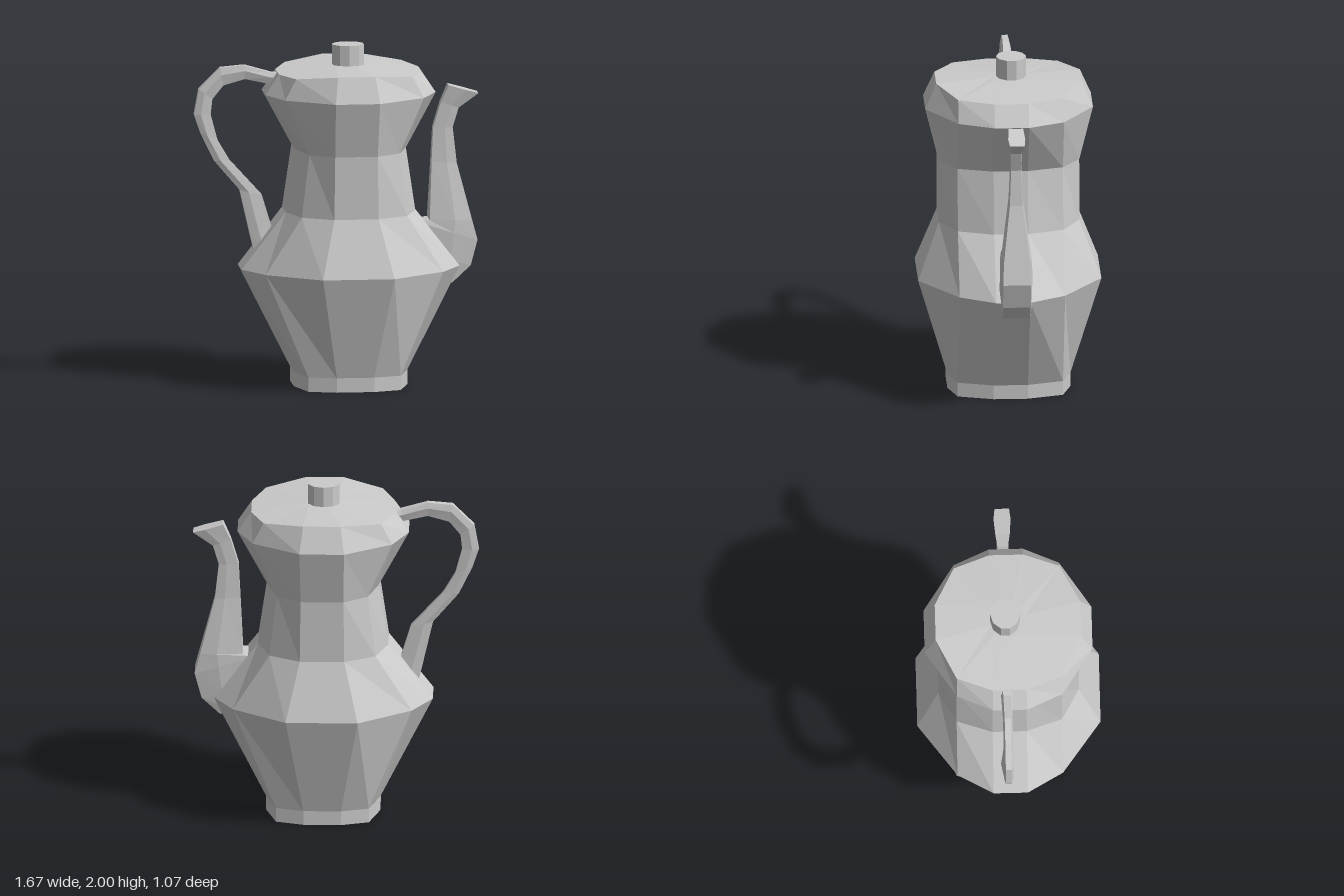
import * as THREE from 'three';

// Skin a list of equal-length point rings, with a fan cap on each end
function loft(rings) {
  const n = rings[0].length, pos = [];
  const tri = (...pts) => pts.forEach(p => pos.push(...p));
  for (let i = 0; i < rings.length - 1; i++) {
    for (let j = 0; j < n; j++) {
      const k = (j + 1) % n;
      const a = rings[i][j], b = rings[i][k], c = rings[i + 1][k], d = rings[i + 1][j];
      tri(a, b, d);
      tri(b, c, d);
    }
  }
  const cap = (ring, flip) => {
    const mid = [0, 1, 2].map(q => ring.reduce((s, p) => s + p[q], 0) / n);
    for (let j = 0; j < n; j++) {
      const a = ring[j], b = ring[(j + 1) % n];
      flip ? tri(mid, b, a) : tri(mid, a, b);
    }
  };
  cap(rings[0], true);
  cap(rings[rings.length - 1], false);
  const g = new THREE.BufferGeometry();
  g.setAttribute('position', new THREE.Float32BufferAttribute(pos, 3));
  g.computeVertexNormals();
  return g;
}

const CX = 0.07;   // body axis
const CZ = -0.017; // spout, handle and knob plane

// Twelve-sided body ring: half width, front corner x, half depth, heights of side / shoulder / front
function bodyRing([w, fx, d, y0, y1 = y0, y2 = y0, zs = 1]) {
  const q = [[w, 0.1 * zs, y0], [w * 0.815, 0.308 * zs, y1], [fx, d, y2]];
  const half = [...q, ...q.slice().reverse().map(([x, z, y]) => [-x, z, y])];
  const all = [...half, ...half.map(([x, z, y]) => [-x, -z, y])];
  return all.map(([x, z, y]) => [CX + x, y, z]);
}

// Six-sided section between an inner and outer profile point, half thickness h
function section([ix, iy, ox, oy, h], edge) {
  const at = (t, z) => [ix + (ox - ix) * t, iy + (oy - iy) * t, CZ + z];
  return [at(1, -h * edge), at(1, h * edge), at(0.6, h), at(0, h * edge), at(0, -h * edge), at(0.6, -h)];
}

export function createModel() {
  const group = new THREE.Group();
  const material = new THREE.MeshStandardMaterial({ color: 0xcccccc, flatShading: true });
  const add = (name, geometry) => {
    const mesh = new THREE.Mesh(geometry, material);
    mesh.name = name;
    group.add(mesh);
    return mesh;
  };

  // Body with its shallow lid, from the top down
  add('body', loft([
    [0.1, 0.03, 0.1, 1.88, 1.88, 1.88, 0.25],
    [0.42, 0.11, 0.425, 1.845, 1.85, 1.875],
    [0.5, 0.13, 0.49, 1.725],
    [0.325, 0.125, 0.41, 1.4],
    [0.38, 0.13, 0.41, 1.03],
    [0.64, 0.21, 0.535, 0.695],
    [0.333, 0.11, 0.36, 0.085],
    [0.333, 0.11, 0.36, 0],
  ].map(bodyRing)));

  // Lid knob
  const knob = add('lidKnob', new THREE.CylinderGeometry(0.095, 0.095, 0.13, 10));
  knob.scale.z = 0.92;
  knob.position.set(CX - 0.002, 1.935, CZ);

  // Spout, from the lip down
  add('spout', loft([
    [0.655, 1.75, 0.83, 1.7, 0.05],
    [0.61, 1.65, 0.715, 1.615, 0.036],
    [0.565, 1.5, 0.68, 1.5, 0.034],
    [0.555, 1.3, 0.703, 1.29, 0.044],
    [0.54, 0.96, 0.788, 0.96, 0.09],
    [0.47, 0.95, 0.82, 0.84, 0.095],
    [0.48, 0.78, 0.78, 0.69, 0.095],
    [0.5, 0.66, 0.67, 0.588, 0.095],
  ].map(s => section(s, 0.85))));

  // Handle, from the foot up
  add('handle', loft([
    [-0.34, 0.8, -0.485, 0.78, 0.04],
    [-0.38, 0.92, -0.515, 0.91, 0.034],
    [-0.44, 1.12, -0.57, 1.15, 0.028],
    [-0.63, 1.33, -0.72, 1.325, 0.028],
    [-0.7, 1.45, -0.8, 1.49, 0.028],
    [-0.74, 1.6, -0.837, 1.6, 0.028],
    [-0.73, 1.69, -0.81, 1.75, 0.028],
    [-0.665, 1.77, -0.685, 1.875, 0.028],
    [-0.54, 1.805, -0.54, 1.887, 0.028],
    [-0.4, 1.775, -0.38, 1.84, 0.034],
    [-0.3, 1.775, -0.3, 1.84, 0.04],
  ].map(s => section(s, 0.65))));

  return group;
}
